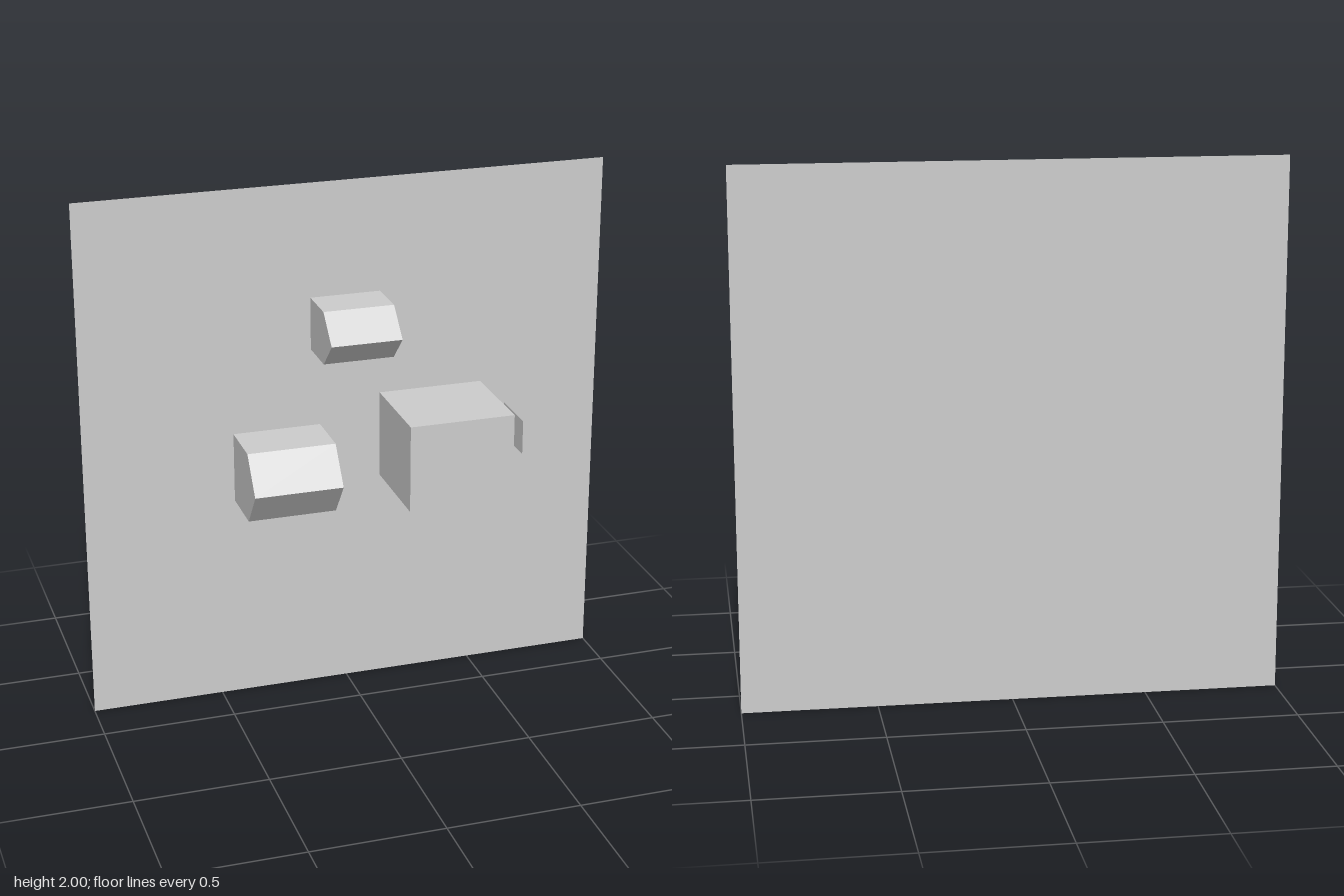
import * as THREE from 'three';

const BACK = -0.183; // z of the wall

export function createModel() {
  const group = new THREE.Group();
  const grey = new THREE.MeshStandardMaterial({ color: 0xcccccc, side: THREE.DoubleSide });
  grey.name = 'grey';

  const add = (name, geometry, x, y, z) => {
    const mesh = new THREE.Mesh(geometry, grey);
    mesh.name = name;
    mesh.position.set(x, y, z);
    group.add(mesh);
    return mesh;
  };

  // Upright square wall
  add('wall', new THREE.PlaneGeometry(2, 2), 0, 1, BACK);

  // Plain block projecting from the wall
  add('block', new THREE.BoxGeometry(0.4, 0.333, 0.366), 0.333, 1.0, 0);

  // Ridged block: a side profile (z, y) extruded along x
  const ridgedBlock = (name, x0, x1, y0, y1, shoulder, tip) => {
    const profile = new THREE.Shape([
      [BACK, y0], [shoulder, y0], [tip, (y0 + y1) / 2], [shoulder, y1], [BACK, y1],
    ].map(([z, y]) => new THREE.Vector2(-z, y)));
    const geometry = new THREE.ExtrudeGeometry(profile, { depth: x1 - x0, bevelEnabled: false });
    geometry.rotateY(Math.PI / 2);
    add(name, geometry, x0, 0, 0);
  };
  ridgedBlock('upperRidgedBlock', -0.133, 0.133, 1.367, 1.567, -0.017, 0.083);
  ridgedBlock('lowerRidgedBlock', -0.433, -0.1, 0.8, 1.067, 0.017, 0.117);

  // Thin fin standing out from the wall beside the plain block
  const fin = add('fin', new THREE.PlaneGeometry(0.2, 0.133), 0.633, 1.0, BACK + 0.1);
  fin.rotation.y = Math.PI / 2;

  return group;
}
